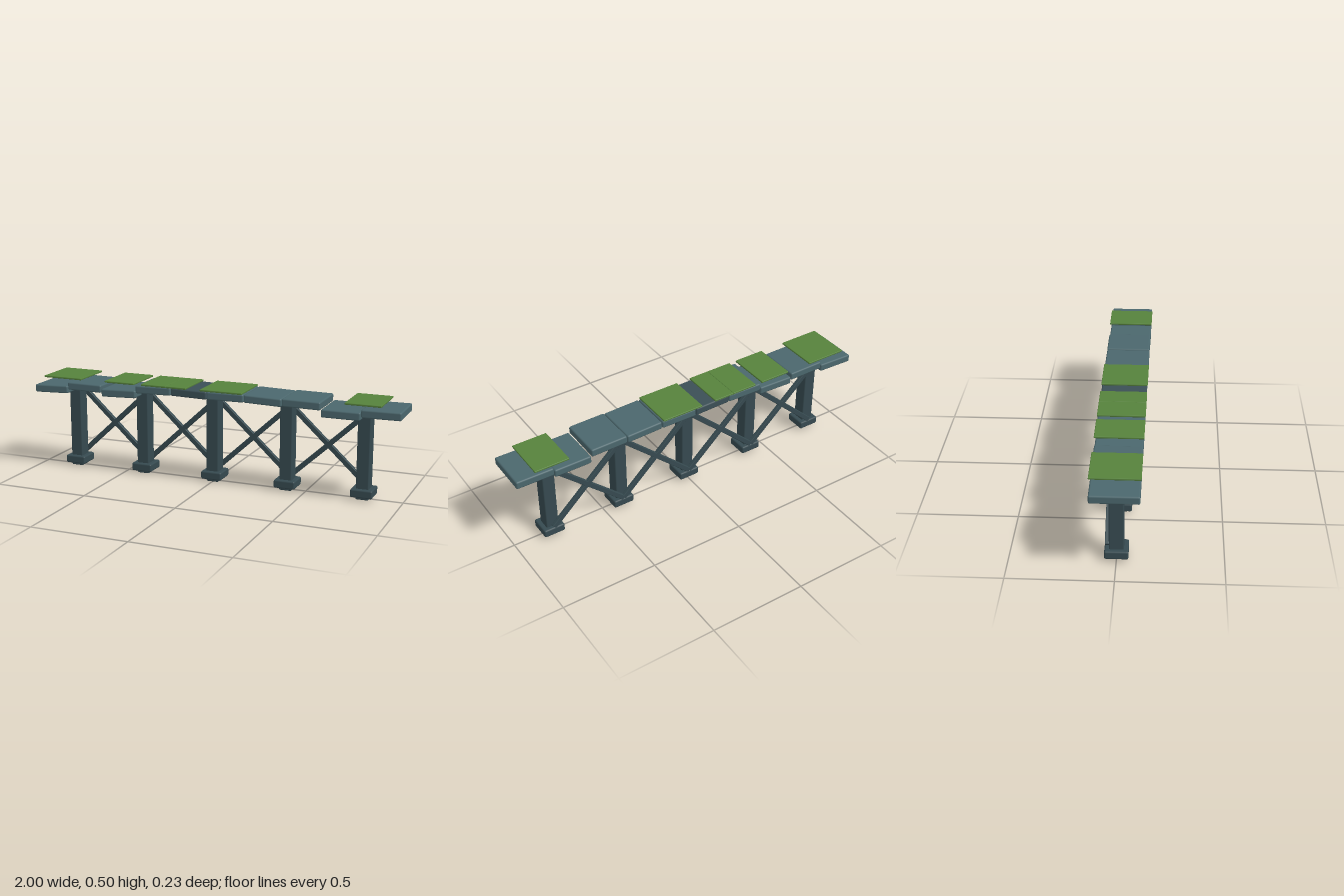
import * as THREE from 'three';
import { RoundedBoxGeometry } from 'three/addons/geometries/RoundedBoxGeometry.js';

const paint = (color) => {
  const m = new THREE.MeshStandardMaterial();
  m.color.set(color);
  return m;
};

export function createModel() {
  const model = new THREE.Group();
  const slabMat = paint(0x4b676d);
  const darkSlabMat = paint(0x3b4f56);
  const pierMat = paint(0x364a50);
  const mossMat = paint(0x56823c);

  const block = (name, mat, [w, h, d], [x, y, z], radius, tilt = 0) => {
    const mesh = new THREE.Mesh(new RoundedBoxGeometry(w, h, d, 2, radius), mat);
    mesh.name = name;
    mesh.position.set(x, y, z);
    mesh.rotation.z = tilt;
    model.add(mesh);
    return mesh;
  };

  // Uneven deck slabs: height of the centre and tilt of each, from -x to +x
  const slabs = [
    [0.433, 0.035], [0.457, -0.01], [0.441, 0.035], [0.474, 0.02], [0.475, -0.02],
    [0.475, 0.01], [0.474, -0.025], [0.474, -0.01], [0.440, 0], [0.457, 0.01],
  ];
  slabs.forEach(([y, tilt], i) => {
    block('deckSlab', i === 4 ? darkSlabMat : slabMat, [0.197, 0.041, 0.228],
      [-0.9 + i * 0.2, y, 0], 0.008, tilt);
  });

  // Piers with a wider footing near the ground
  for (let i = 0; i < 5; i++) {
    const x = -0.8 + i * 0.4;
    const top = i === 0 || i === 4 ? 0.445 : 0.455;
    block('pier', pierMat, [0.066, top, 0.07], [x, top / 2, 0], 0.006);
    block('pierFooting', pierMat, [0.112, 0.042, 0.112], [x, 0.036, 0], 0.008);
  }

  // Crossed braces on the back of the piers
  const rise = 0.37;
  const length = Math.hypot(0.4, rise);
  const angle = Math.atan2(rise, 0.4);
  for (let i = 0; i < 4; i++) {
    for (const side of [-1, 1]) {
      block('crossBrace', pierMat, [length, 0.026, 0.02],
        [-0.6 + i * 0.4, 0.244, -0.045], 0.003, side * angle);
    }
  }

  // Thin moss mats lying over the deck: start and end along x
  const mats = [
    [-0.937, -0.715], [-0.575, -0.405], [-0.365, -0.225],
    [-0.225, -0.113], [-0.035, 0.192], [0.72, 0.902],
  ];
  for (const [a, b] of mats) {
    block('mossMat', mossMat, [b - a, 0.01, 0.234], [(a + b) / 2, 0.5, 0], 0.003);
  }

  return model;
}
